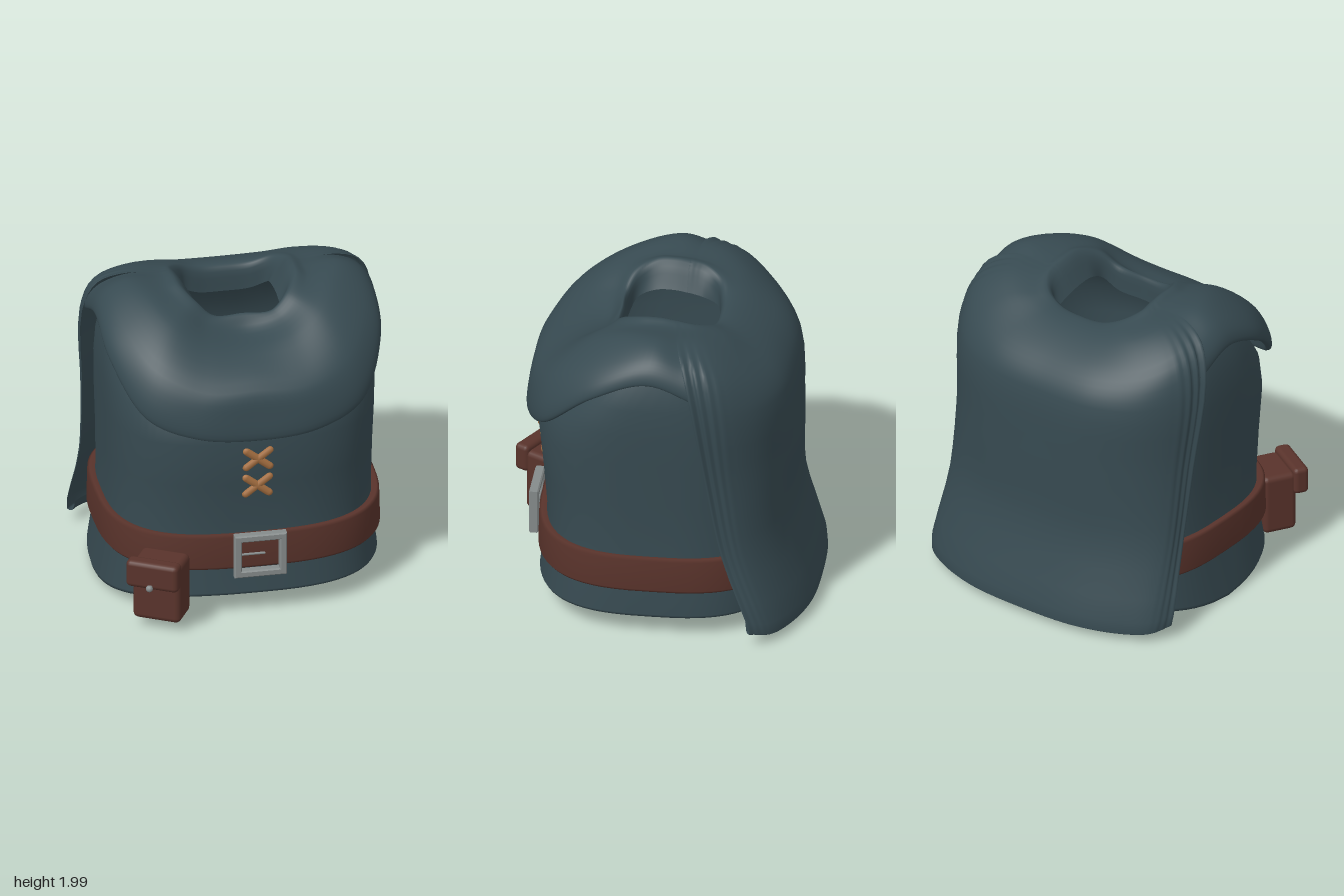
import * as THREE from 'three';
import { mergeVertices } from 'three/addons/utils/BufferGeometryUtils.js';
import { RoundedBoxGeometry } from 'three/addons/geometries/RoundedBoxGeometry.js';

const mat = (name, color) => new THREE.MeshStandardMaterial({ name, color });
const V = (p) => new THREE.Vector3(...p);

// Smooth grid surface from point(u, v): u runs around, v runs downward
function grid(nu, nv, point) {
  const pos = [], idx = [];
  for (let i = 0; i <= nu; i++) {
    for (let j = 0; j <= nv; j++) pos.push(...point(i / nu, j / nv).toArray());
  }
  for (let i = 0; i < nu; i++) {
    for (let j = 0; j < nv; j++) {
      const a = i * (nv + 1) + j, b = a + nv + 1;
      idx.push(a, a + 1, b, b, a + 1, b + 1);
    }
  }
  let g = new THREE.BufferGeometry();
  g.setAttribute('position', new THREE.Float32BufferAttribute(pos, 3));
  g.setIndex(idx);
  g = mergeVertices(g, 1e-4);
  g.computeVertexNormals();
  return g;
}

// Surface through draped columns of points, each running from neck to edge
function drape(columns, nu, nv, ripple = () => 0) {
  const curves = columns.map((c) => new THREE.CatmullRomCurve3(c));
  const rows = [];
  for (let j = 0; j <= nv; j++) {
    rows.push(new THREE.CatmullRomCurve3(curves.map((c) => c.getPoint(j / nv))));
  }
  return grid(nu, nv, (u, v) => {
    const p = rows[Math.round(v * nv)].getPoint(u);
    const r = 1 + ripple(u, v);
    return p.set(p.x * r, p.y, p.z);
  });
}

// Adds the funnel inside the collar and a turned-under edge to a column
function finish(column) {
  const pts = column.map(V), a = pts[0], z = pts[pts.length - 1];
  return [
    new THREE.Vector3(Math.min(a.x, 0.26), a.y - 0.16, a.z * 0.95), ...pts,
    new THREE.Vector3(z.x * 0.97, z.y - 0.008, z.z * 0.97),
    new THREE.Vector3(z.x * 0.95, z.y + 0.06, z.z * 0.95),
  ];
}
const flip = (c) => c.map((p) => new THREE.Vector3(-p.x, p.y, p.z));

// Rounded cross-sections [y, halfWidth, halfDepth, centreZ], top to bottom
function rings(list, nu, adjust = (p) => p) {
  const k = 2 / 2.9;
  return grid(nu, list.length - 1, (u, v) => {
    const [y, w, d, cz] = list[Math.round(v * (list.length - 1))];
    const t = u * Math.PI * 2 + Math.PI, s = Math.sin(t), c = Math.cos(t);
    return adjust(new THREE.Vector3(
      w * Math.sign(s) * Math.abs(s) ** k, y, cz + d * Math.sign(c) * Math.abs(c) ** k));
  });
}

// Front mantle columns, from centre front to the shoulder
const MANTLE = [
  [[0, 1.85, 0.26], [0, 1.77, 0.34], [0, 1.72, 0.53], [0, 1.57, 0.775], [0, 1.4, 0.82], [0, 1.25, 0.825]],
  [[0.18, 1.85, 0.26], [0.23, 1.82, 0.34], [0.27, 1.75, 0.53], [0.32, 1.57, 0.755], [0.36, 1.42, 0.8], [0.38, 1.28, 0.8]],
  [[0.28, 1.93, 0.21], [0.36, 1.92, 0.28], [0.48, 1.87, 0.42], [0.61, 1.68, 0.61], [0.67, 1.49, 0.67], [0.68, 1.38, 0.665]],
  [[0.36, 1.99, 0.09], [0.44, 1.97, 0.11], [0.58, 1.965, 0.2], [0.75, 1.84, 0.32], [0.84, 1.73, 0.35], [0.855, 1.66, 0.35]],
  [[0.37, 1.995, -0.03], [0.45, 1.975, -0.04], [0.66, 1.995, -0.03], [0.79, 1.94, -0.02], [0.86, 1.86, 0], [0.875, 1.79, 0]],
  [[0.37, 1.98, -0.13], [0.45, 1.965, -0.15], [0.64, 1.96, -0.18], [0.8, 1.88, -0.23], [0.87, 1.78, -0.27], [0.88, 1.68, -0.31]],
];

// Cape columns, from the side edge to centre back
const CAPE = [
  [[0.37, 1.985, -0.11], [0.45, 1.97, -0.13], [0.65, 1.975, -0.16], [0.82, 1.9, -0.21], [0.905, 1.68, -0.27],
    [0.885, 1.1, -0.37], [0.88, 0.6, -0.47], [0.925, 0.1, -0.65]],
  [[0.36, 1.96, -0.21], [0.42, 1.95, -0.26], [0.62, 1.945, -0.32], [0.8, 1.83, -0.41], [0.87, 1.61, -0.46],
    [0.85, 1.1, -0.51], [0.845, 0.6, -0.59], [0.85, 0.07, -0.77]],
  [[0.28, 1.91, -0.31], [0.34, 1.91, -0.38], [0.5, 1.88, -0.47], [0.64, 1.74, -0.6], [0.69, 1.56, -0.67],
    [0.69, 1.1, -0.685], [0.68, 0.6, -0.73], [0.69, 0.06, -0.87]],
  [[0.16, 1.86, -0.345], [0.19, 1.87, -0.42], [0.27, 1.82, -0.56], [0.36, 1.7, -0.72], [0.4, 1.55, -0.8],
    [0.4, 1.1, -0.82], [0.4, 0.6, -0.83], [0.4, 0.06, -0.965]],
  [[0, 1.85, -0.355], [0, 1.86, -0.43], [0, 1.8, -0.59], [0, 1.69, -0.74], [0, 1.55, -0.825],
    [0, 1.1, -0.85], [0, 0.6, -0.86], [0, 0.06, -0.99]],
];

export function createModel() {
  const root = new THREE.Group();
  root.name = 'tunicWithCape';
  const cloth = mat('teal cloth', 0x374a51);
  cloth.side = THREE.DoubleSide;
  const leather = mat('brown leather', 0x59332b);
  const metal = mat('grey metal', 0x858b8b);
  const cord = mat('tan cord', 0xa87142);
  const add = (name, geo, material, parent = root, p = [0, 0, 0]) => {
    const m = new THREE.Mesh(geo, material);
    m.name = name;
    m.position.set(...p);
    parent.add(m);
    return m;
  };

  // Torso: raised shoulders, and a hem that dips and flares on the right side
  const shape = (p) => {
    if (p.y > 1.65) p.y += 0.09 * Math.abs(p.x);
    if (p.x < 0 && p.y < 0.34) {
      const across = Math.max(0, 1 - Math.min(1, Math.abs(p.z + 0.02) / 0.75) ** 1.4);
      const dip = across * Math.min(1, (0.34 - p.y) / 0.19);
      p.y -= 0.135 * dip;
      p.x *= 1 + 0.035 * dip;
    }
    return p;
  };
  add('torso', rings([
    [1.75, 0.76, 0.37, -0.06], [1.68, 0.81, 0.46, -0.05], [1.58, 0.845, 0.59, -0.02],
    [1.4, 0.85, 0.72, -0.01], [1.2, 0.845, 0.77, -0.01], [0.9, 0.835, 0.75, -0.02], [0.6, 0.83, 0.735, -0.03],
    [0.32, 0.845, 0.75, -0.03], [0.16, 0.865, 0.77, -0.02], [0.14, 0.855, 0.76, -0.02],
    [0.142, 0.825, 0.73, -0.02], [0.18, 0.815, 0.72, -0.02], [0.48, 0.8, 0.705, -0.03], [0.5, 0.825, 0.73, -0.03],
  ], 72, shape), cloth);

  // Mantle over chest and shoulders
  const front = MANTLE.map(finish);
  add('mantle', drape([...front.slice(1).reverse().map(flip), ...front], 80, 36), cloth);

  // Back cape, gathered in folds along both side edges
  const back = CAPE.map(finish);
  const folds = (u, v) => {
    const e = Math.min(u, 1 - u);
    const fade = Math.max(0, 1 - e / 0.16) * Math.sin(Math.PI * Math.min(1, v * 1.1)) ** 2;
    return 0.018 * fade * Math.sin(e * 150);
  };
  add('cape', drape([...back, ...back.slice(0, -1).reverse().map(flip)], 120, 40, folds), cloth);

  // Belt
  add('belt', rings([
    [0.55, 0.82, 0.725, -0.03], [0.56, 0.865, 0.77, -0.03], [0.545, 0.88, 0.785, -0.03],
    [0.345, 0.885, 0.79, -0.03], [0.325, 0.87, 0.775, -0.03], [0.335, 0.82, 0.725, -0.03],
  ], 72), leather);

  // Buckle frame and prong
  const rect = (S, w, h) => {
    const s = new S();
    s.moveTo(-w, -h); s.lineTo(w, -h); s.lineTo(w, h); s.lineTo(-w, h); s.closePath();
    return s;
  };
  const frame = rect(THREE.Shape, 0.157, 0.137);
  frame.holes.push(rect(THREE.Path, 0.128, 0.108));
  add('buckleFrame', new THREE.ExtrudeGeometry(frame, {
    depth: 0.044, bevelSize: 0.008, bevelThickness: 0.008, bevelSegments: 1,
  }), metal, root, [0.007, 0.438, 0.773]);
  add('bucklePin', new THREE.CylinderGeometry(0.008, 0.008, 0.17, 8), metal, root, [-0.045, 0.438, 0.785])
    .rotation.z = Math.PI / 2;

  // Crossed chest laces, slightly flattened against the cloth
  for (const [y, z] of [[1.09, 0.767], [0.895, 0.747]]) {
    for (const side of [-1, 1]) {
      const lace = add('chestLace', new THREE.CapsuleGeometry(0.025, 0.185, 3, 8), cord, root, [0, y, z]);
      lace.scale.z = 0.7;
      lace.rotation.set(0.07, 0, side * 0.9);
    }
  }

  // Belt pouch, turned to follow the front right corner
  const pouch = new THREE.Group();
  pouch.name = 'pouch';
  pouch.position.set(-0.61, 0, 0.77);
  pouch.rotation.y = -0.52;
  root.add(pouch);
  add('pouchBody', new RoundedBoxGeometry(0.31, 0.4, 0.22, 2, 0.035), leather, pouch, [0, 0.27, 0]);
  add('pouchFlap', new RoundedBoxGeometry(0.34, 0.18, 0.1, 2, 0.03), leather, pouch, [-0.005, 0.412, 0.135]);
  add('pouchStud', new THREE.CylinderGeometry(0.014, 0.014, 0.04, 10), metal, pouch, [-0.01, 0.345, 0.19])
    .rotation.x = Math.PI / 2;
  add('pouchStudHead', new THREE.SphereGeometry(0.022, 10, 8), metal, pouch, [-0.01, 0.345, 0.205]);
  return root;
}
